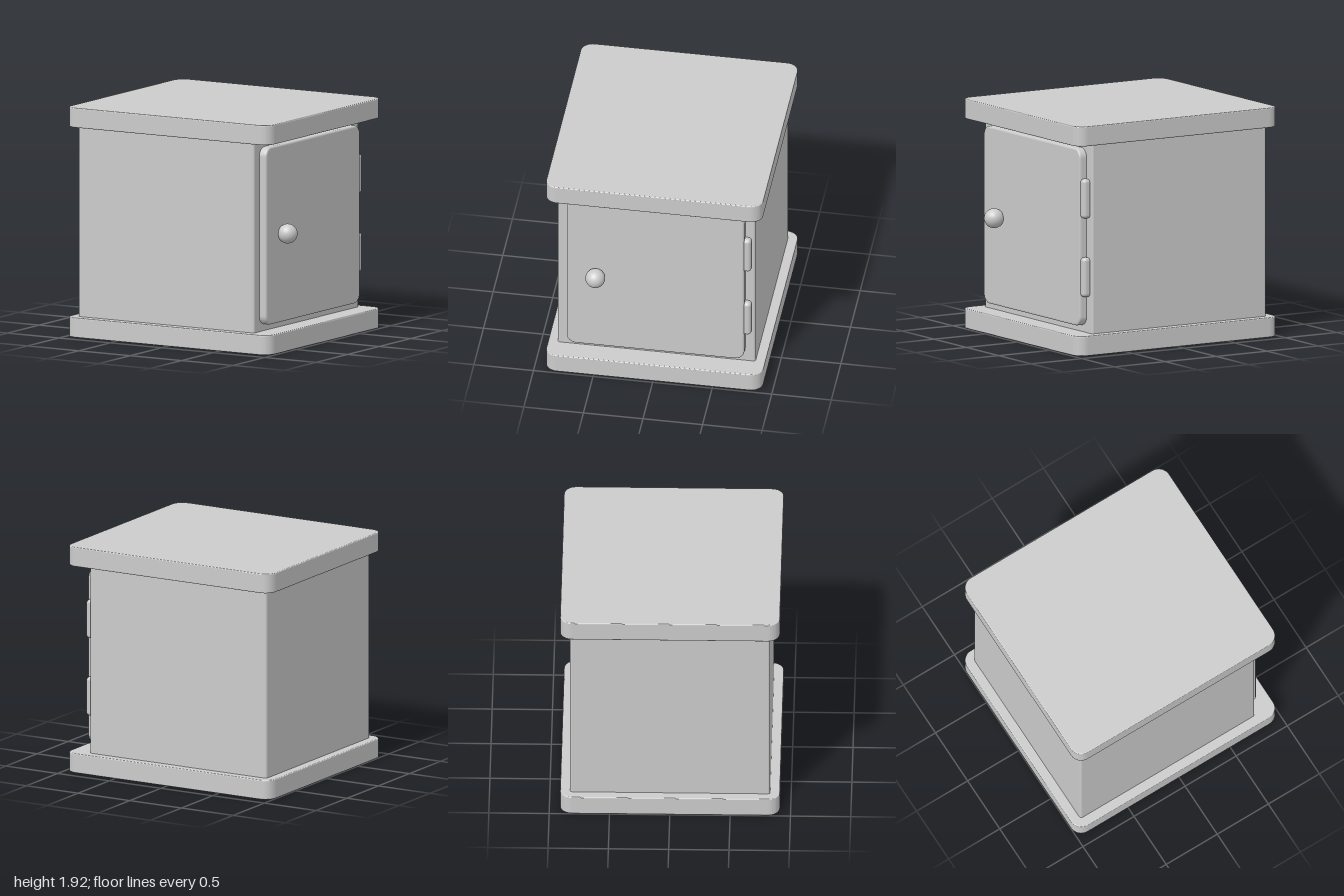
import * as THREE from 'three';
import { RoundedBoxGeometry } from 'three/addons/geometries/RoundedBoxGeometry.js';

const material = new THREE.MeshStandardMaterial({ color: 0xcccccc });

// Rounded rectangle w x h, extruded by t along z, with a small softened rim
function plateGeometry(w, h, t, radius, bevel, segments) {
  const x = w / 2 - bevel, y = h / 2 - bevel, r = radius - bevel;
  const s = new THREE.Shape();
  s.absarc(x - r, y - r, r, 0, Math.PI / 2);
  s.absarc(-x + r, y - r, r, Math.PI / 2, Math.PI);
  s.absarc(-x + r, -y + r, r, Math.PI, Math.PI * 1.5);
  s.absarc(x - r, -y + r, r, Math.PI * 1.5, Math.PI * 2);
  s.closePath();
  const g = new THREE.ExtrudeGeometry(s, {
    depth: t - 2 * bevel, bevelEnabled: true, bevelSize: bevel,
    bevelThickness: bevel, bevelSegments: 3, curveSegments: segments,
  });
  return g.translate(0, 0, bevel - t / 2);
}

export function createModel() {
  const group = new THREE.Group();
  const add = (name, geometry, x, y, z) => {
    const mesh = new THREE.Mesh(geometry, material);
    mesh.name = name;
    mesh.position.set(x, y, z);
    group.add(mesh);
  };

  // Overhanging base and top slabs
  const slab = plateGeometry(1.98, 1.82, 0.165, 0.1, 0.008, 4).rotateX(-Math.PI / 2);
  add('baseSlab', slab, -0.008, 0.0825, 0);
  add('topSlab', slab, -0.008, 1.8425, 0);

  // Cabinet body, running slightly into both slabs
  add('body', new RoundedBoxGeometry(1.71, 1.64, 1.66, 3, 0.02), -0.063, 0.9625, 0);

  // Door on the +x side
  const door = plateGeometry(1.49, 1.49, 0.08, 0.08, 0.016, 6).rotateY(Math.PI / 2);
  add('door', door, 0.82, 0.965, 0);

  // Round knob
  add('knob', new THREE.SphereGeometry(0.082, 32, 20), 0.915, 0.965, 0.495);

  // Two hinges along the rear edge of the door
  const hinge = new RoundedBoxGeometry(0.075, 0.33, 0.08, 4, 0.03);
  [['lowerHinge', 0.635], ['upperHinge', 1.295]].forEach(([name, y]) => add(name, hinge, 0.815, y, -0.76));

  return group;
}
